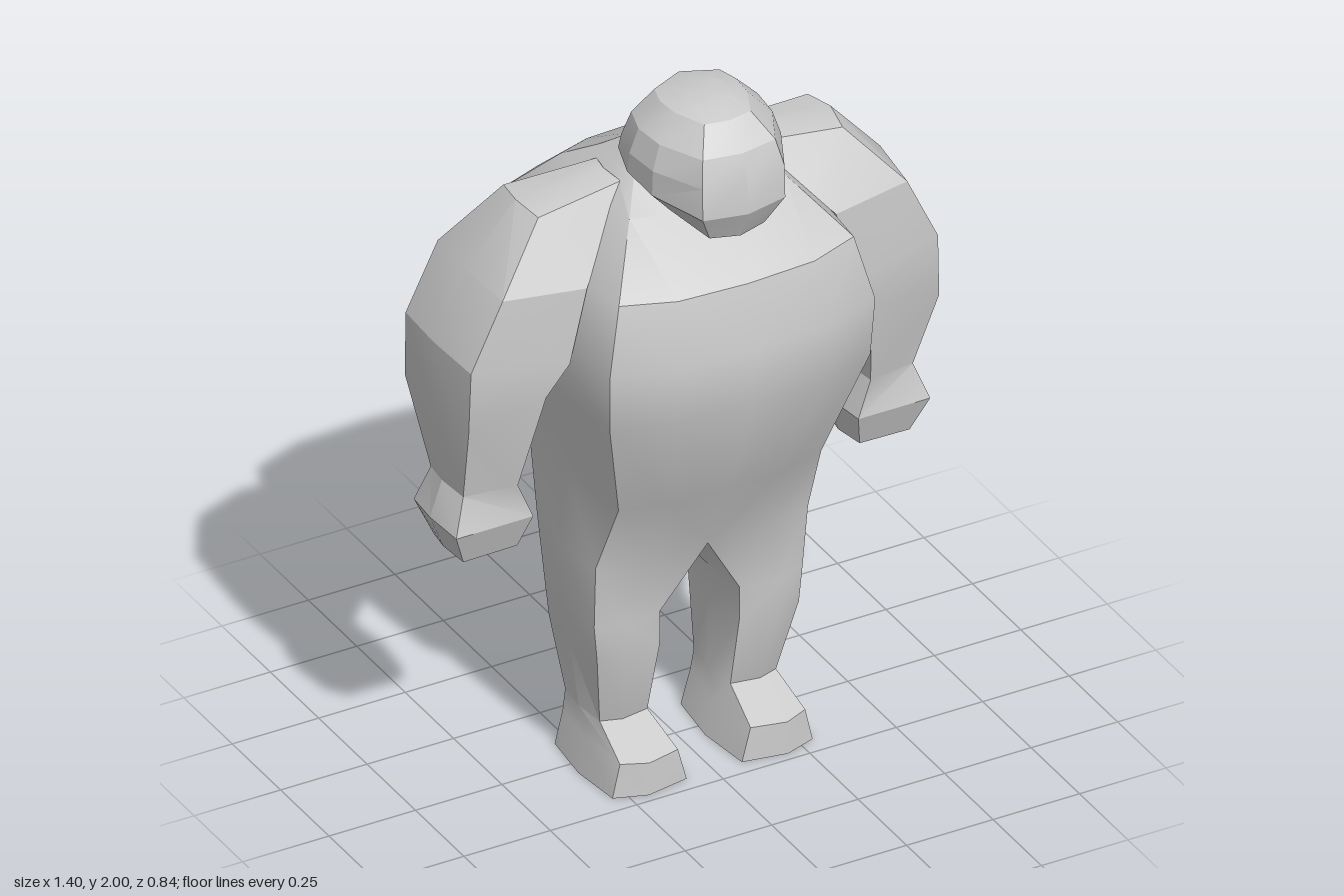
import * as THREE from 'three';
import { toCreasedNormals } from 'three/addons/utils/BufferGeometryUtils.js';

const V = (x, y, z) => new THREE.Vector3(x, y, z);

// Skin a stack of equal-length loops (bottom to top) into triangles, with end caps.
function loft(rings, skip = () => false) {
  const tris = [];
  const n = rings[0].length;
  for (let r = 0; r < rings.length - 1; r++) {
    for (let i = 0; i < n; i++) {
      if (skip(r, i)) continue;
      const j = (i + 1) % n;
      const [a, b, c, d] = [rings[r][i], rings[r][j], rings[r + 1][j], rings[r + 1][i]];
      tris.push([a, b, c], [a, c, d]);
    }
  }
  const cap = (ring, up) => {
    const mid = ring.reduce((s, p) => s.add(p), V(0, 0, 0)).divideScalar(n);
    ring.forEach((p, i) => {
      const q = ring[(i + 1) % n];
      tris.push(up ? [mid, p, q] : [mid, q, p]);
    });
  };
  cap(rings[0], false);
  cap(rings[rings.length - 1], true);
  return tris;
}

const mirror = (tris) => tris.map(([a, b, c]) => [a, c, b].map((p) => V(-p.x, p.y, p.z)));

function makeMesh(name, tris, crease) {
  let geo = new THREE.BufferGeometry().setFromPoints(tris.flat());
  geo = toCreasedNormals(geo, crease);
  const mesh = new THREE.Mesh(geo, new THREE.MeshStandardMaterial({ color: 0xcccccc }));
  mesh.name = name;
  return mesh;
}

// Half of the trunk with one leg and foot: [y, inner x, outer x, front z, back z]
function bodyHalf() {
  const rows = [
    [0, 0.08, 0.305, 0.225, -0.135],
    [0.095, 0.105, 0.28, 0.225, -0.132],
    [0.15, 0.12, 0.265, 0.085, -0.13],
    [0.37, 0.115, 0.305, 0.145, -0.155],
    [0.47, 0.115, 0.315, 0.147, -0.16],
    [0.66, 0, 0.33, 0.17, -0.195],
    [0.88, 0, 0.315, 0.28, -0.28],
    [1.2, 0, 0.405, 0.405, -0.395],
    [1.37, 0, 0.412, 0.422, -0.422],
    [1.55, 0, 0.365, 0.382, -0.375],
    [1.69, 0, 0.24, 0.2, -0.23],
    [1.75, 0, 0.17, 0.09, -0.12],
    [1.8, 0, 0.12, 0.07, -0.05],
  ];
  const rings = rows.map(([y, xi, xo, zf, zb]) => {
    const leg = xi > 0;
    const zm = (zf + zb) / 2, h = (zf - zb) / 2;
    const at = (t, k, yy = y) => V(xi + (xo - xi) * t, yy, zm + h * k);
    const inner = at(leg ? -0.08 : 0, 0, y === 0.66 ? 0.6 : y);
    const k0 = leg ? 0.88 : 1, k1 = leg ? 1 : 0.97;
    return [inner, at(0, k0), at(0.54, k1), at(0.93, 0.83), at(1, 0),
      at(0.93, -0.83), at(0.54, -k1), at(0, -k0)];
  });
  // The middle plane stays open above the crotch
  return loft(rings, (r, i) => r >= 5 && (i === 0 || i === 7));
}

// Arm: [outer x, outer y, inner x, inner y, outer front z, outer back z, inner front z, inner back z]
function arm() {
  const rows = [
    [0.66, 0.75, 0.48, 0.75, 0.06, -0.09, 0.07, -0.1],
    [0.7, 0.85, 0.455, 0.85, 0.095, -0.125, 0.108, -0.138],
    [0.665, 0.95, 0.495, 0.95, 0.068, -0.1, 0.1, -0.135],
    [0.695, 1.19, 0.455, 1.24, 0.15, -0.18, 0.175, -0.2],
    [0.69, 1.37, 0.395, 1.33, 0.153, -0.185, 0.19, -0.215],
    [0.6, 1.56, 0.345, 1.54, 0.155, -0.18, 0.19, -0.222],
    [0.455, 1.725, 0.28, 1.61, 0.08, -0.1, 0.14, -0.16],
    [0.2, 1.74, 0.17, 1.7, 0.05, -0.075, 0.06, -0.08],
  ];
  return loft(rows.map(([xo, yo, xi, yi, of, ob, nf, nb]) => [
    V(xi, yi, (nf + nb) / 2), V(xi + 0.015, yi, nf), V(xo - 0.015, yo - 0.01, of),
    V(xo, yo, (of + ob) / 2), V(xo - 0.015, yo - 0.01, ob), V(xi + 0.015, yi, nb),
  ]));
}

// Head, leaning forward: [front y, back y, half width, front z, back z]
function head() {
  const rows = [
    [1.67, 1.76, 0.13, 0.34, -0.05],
    [1.755, 1.81, 0.195, 0.38, -0.065],
    [1.85, 1.85, 0.195, 0.375, -0.045],
    [1.92, 1.92, 0.172, 0.35, -0.02],
    [1.983, 1.983, 0.11, 0.285, 0.02],
    [2, 2, 0.06, 0.22, 0.09],
  ];
  const half = [[0, 1], [0.61, 0.9], [0.95, 0.25], [1, -0.25], [0.86, -0.68], [0, -1]];
  const section = [...half, ...half.slice(1, -1).reverse().map(([x, z]) => [-x, z])];
  return loft(rows.map(([yf, yb, w, zf, zb]) => section.map(([x, k]) => {
    const t = (k + 1) / 2;
    return V(x * w, yb + (yf - yb) * t, zb + (zf - zb) * t);
  })));
}

export function createModel() {
  const group = new THREE.Group();
  group.name = 'figure';
  const half = bodyHalf();
  group.add(makeMesh('body', [...half, ...mirror(half)], 0.65));
  group.add(makeMesh('head', head(), 0.3));
  const left = arm();
  group.add(makeMesh('leftArm', left, 0.35));
  group.add(makeMesh('rightArm', mirror(left), 0.35));
  return group;
}
